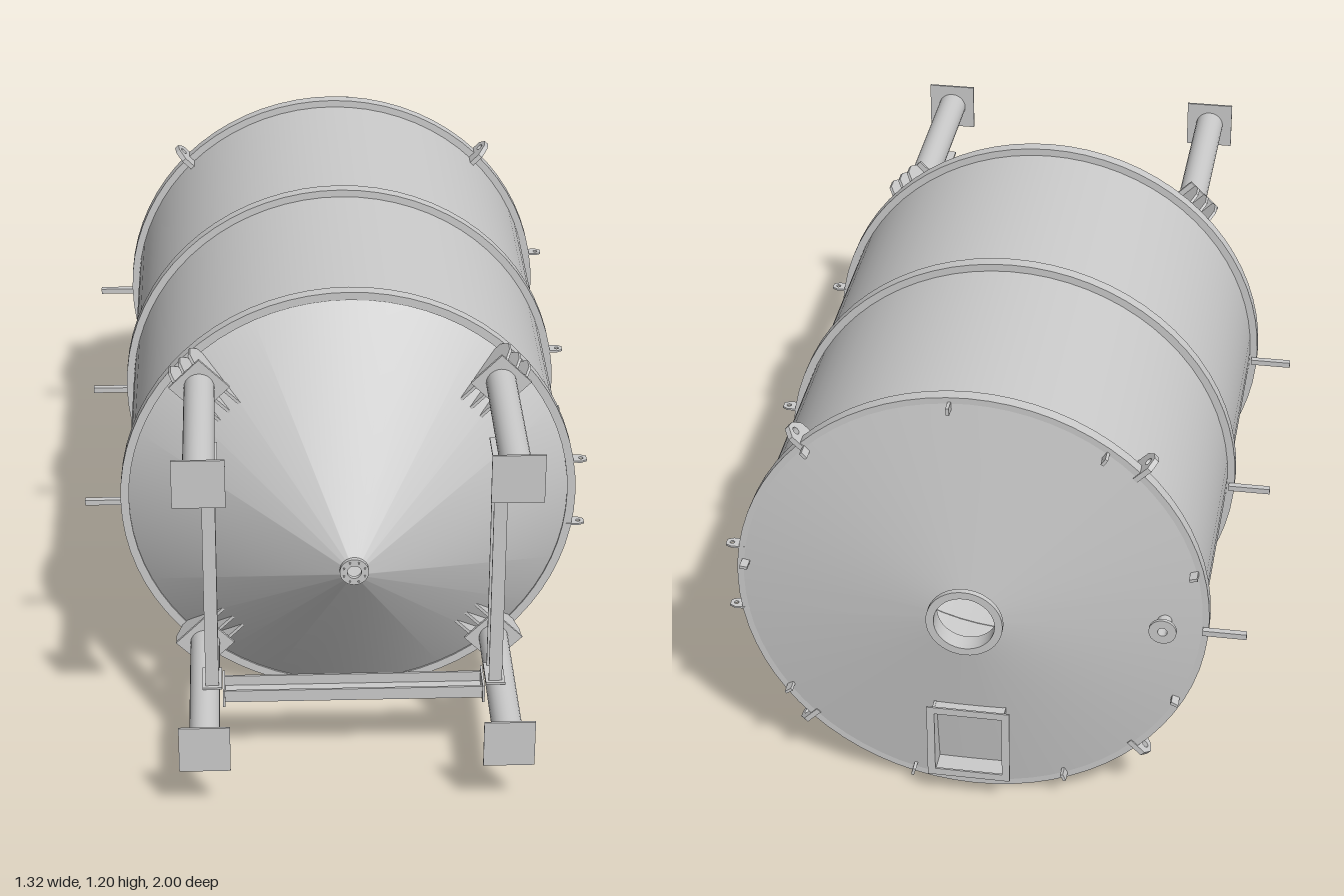
import * as THREE from 'three';
import { toCreasedNormals } from 'three/addons/utils/BufferGeometryUtils.js';

const CX = 0.03, CY = 0.6;           // tank axis, running along z
const LEG = 0.385;                   // leg offset from the axis
const grey = new THREE.MeshStandardMaterial({ color: 0xcccccc, side: THREE.DoubleSide });

function add(parent, name, geometry, x = 0, y = 0, z = 0) {
  const mesh = new THREE.Mesh(geometry, grey);
  mesh.name = name;
  mesh.position.set(x, y, z);
  parent.add(mesh);
  return mesh;
}

const box = (w, h, d) => new THREE.BoxGeometry(w, h, d);

// Surface of revolution about z from [radius, z] points
function turned(points, sides = 72) {
  const lathe = new THREE.LatheGeometry(points.map(([r, z]) => new THREE.Vector2(r, z)), sides);
  return toCreasedNormals(lathe.rotateX(Math.PI / 2), 0.4);
}

// Closed ring of rectangular section
const hoop = (inner, outer, z0, z1, sides) =>
  turned([[inner, z0], [outer, z0], [outer, z1], [inner, z1], [inner, z0]], sides);

// Flat plate from [u, v] points, centred on its thickness, with optional round hole [u, v, r]
function plate(points, thickness, hole) {
  const shape = new THREE.Shape(points.map(([u, v]) => new THREE.Vector2(u, v)));
  if (hole) shape.holes.push(new THREE.Path().absarc(hole[0], hole[1], hole[2], 0, Math.PI * 2, true));
  return new THREE.ExtrudeGeometry(shape, { depth: thickness, bevelEnabled: false, curveSegments: 8 })
    .translate(0, 0, -thickness / 2);
}

// Plate lying in the radius/z plane
const radialPlate = (points, thickness, hole) => plate(points, thickness, hole).rotateX(Math.PI / 2);

// Group turned about the tank axis so that its +x points outwards
function spoke(parent, name, angle) {
  const group = new THREE.Group();
  group.name = name;
  group.rotation.z = angle;
  parent.add(group);
  return group;
}

// U-channel along x, web on -y, flanges towards +y
function channel(parent, name, length) {
  const group = new THREE.Group();
  group.name = name;
  add(group, 'web', box(length, 0.006, 0.075), 0, -0.014, 0);
  for (const s of [-1, 1]) {
    add(group, 'flange', box(length, 0.034, 0.006), 0, 0, s * 0.0345);
    add(group, 'endPlate', box(0.006, 0.05, 0.095), s * length / 2, 0, 0);
  }
  parent.add(group);
  return group;
}

function buildTank(tank) {
  add(tank, 'shell', turned([[0.58, -0.885], [0.58, 0.4]]));
  add(tank, 'hopperCone', turned([[0.58, 0.4], [0.025, 0.78]]));
  add(tank, 'roof', turned([[0.085, -0.97], [0.59, -0.895], [0.58, -0.885]]));

  // Outlet flange with bolts
  add(tank, 'outletFlange', hoop(0.018, 0.037, 0.775, 0.786, 32));
  for (let i = 0; i < 8; i++) {
    const a = (i + 0.5) * Math.PI / 4;
    add(tank, 'outletBolt', new THREE.CylinderGeometry(0.003, 0.003, 0.004, 6).rotateX(Math.PI / 2),
      0.029 * Math.cos(a), 0.029 * Math.sin(a), 0.787);
  }

  // Manhole neck and rim
  add(tank, 'manholeNeck', hoop(0.077, 0.085, -0.995, -0.95, 40));
  add(tank, 'manholeRim', hoop(0.077, 0.097, -1, -0.985, 40));

  // Stiffening hoops with their side lugs
  for (const z of [-0.88, -0.243, 0.39]) {
    add(tank, 'hoop', hoop(0.578, 0.6, z - 0.016, z + 0.016));
    for (const y of [-0.095, 0.095]) {
      const lug = plate([[0.57, -0.016], [0.612, -0.018], [0.627, -0.01], [0.627, 0.01],
        [0.612, 0.018], [0.57, 0.016]], 0.005, [0.612, 0, 0.006]);
      add(tank, 'sideLug', lug.rotateX(Math.PI / 2), 0, y, z);
    }
    add(tank, 'sideBar', box(0.11, 0.015, 0.016), -0.64, -0.025, z - 0.026);
  }

  // Small tabs around the roof rim
  for (let i = 0; i < 9; i++) {
    const tab = spoke(tank, 'rimTab', (5.5 + 40 * i) * Math.PI / 180);
    add(tab, 'tab', box(0.02, 0.008, 0.04), 0.578, 0, -0.908);
  }

  // Lifting eyes at the back rim
  for (let i = 0; i < 4; i++) {
    const eye = spoke(tank, 'liftingEye', (i + 0.5) * Math.PI / 2);
    add(eye, 'eyePlate', radialPlate([[0.575, -0.9], [0.625, -0.9], [0.645, -0.875],
      [0.64, -0.85], [0.615, -0.825], [0.575, -0.825]], 0.014, [0.622, -0.868, 0.01]));
  }

  // Small roof nozzle
  const nozzle = new THREE.Group();
  nozzle.name = 'roofNozzle';
  nozzle.position.x = -0.49;
  add(nozzle, 'pipe', hoop(0.012, 0.018, -0.955, -0.9, 20));
  add(nozzle, 'flange', hoop(0.012, 0.035, -0.957, -0.948, 20));
  tank.add(nozzle);
}

// Open box hatch standing on the roof; its walls follow the roof slope
function buildHatch(tank) {
  const hatch = new THREE.Group();
  hatch.name = 'hatch';
  hatch.position.y = -0.41;
  const side = [[-0.105, -0.9], [-0.105, -0.968], [0.105, -0.968], [0.105, -0.925]];
  for (const s of [-1, 1]) {
    // shape u runs along y, v along z
    const wall = plate(side, 0.006).applyMatrix4(new THREE.Matrix4().set(
      0, 0, 1, 0, 1, 0, 0, 0, 0, 1, 0, 0, 0, 0, 0, 1));
    add(hatch, 'sideWall', wall, s * 0.09, 0, 0);
    add(hatch, 'rimSide', box(0.02, 0.22, 0.005), s * 0.097, 0, -0.9685);
    add(hatch, 'rimEnd', box(0.2, 0.02, 0.005), 0, s * 0.1, -0.9685);
  }
  add(hatch, 'lowerWall', box(0.18, 0.006, 0.07), 0, -0.1, -0.934);
  add(hatch, 'upperWall', box(0.18, 0.006, 0.045), 0, 0.1, -0.946);
  tank.add(hatch);
}

function buildLegs(root) {
  for (const sx of [-1, 1]) for (const sy of [-1, 1]) {
    const leg = new THREE.Group();
    leg.name = 'leg';
    leg.position.set(CX + sx * LEG, CY + sy * LEG, 0);
    add(leg, 'post', new THREE.CylinderGeometry(0.039, 0.039, 0.495, 24).rotateX(Math.PI / 2), 0, 0, 0.7475);
    add(leg, 'footPlate', box(0.13, 0.13, 0.006), 0, 0, 0.997);
    root.add(leg);

    // Bracket joining the post to the hopper
    const hub = new THREE.Group();
    hub.position.set(CX, CY, 0);
    hub.name = 'legBracket';
    root.add(hub);
    const bracket = spoke(hub, 'bracket', Math.atan2(sy, sx));
    add(bracket, 'topPlate', box(0.11, 0.11, 0.008), LEG * Math.SQRT2, 0, 0.5);
    for (const t of [-0.036, 0, 0.036]) {
      add(bracket, 'gusset', radialPlate([[0.437, 0.498], [0.6, 0.498], [0.615, 0.47],
        [0.615, 0.435], [0.59, 0.405], [0.57, 0.405]], 0.008), 0, t, 0);
    }
  }
}

function buildBraces(root) {
  const z = 0.752;
  const left = channel(root, 'sideBrace', 0.67);
  left.rotation.z = Math.PI / 2;
  left.position.set(0.395, CY, z);
  const right = channel(root, 'sideBrace', 0.67);
  right.rotation.z = -Math.PI / 2;
  right.position.set(-0.335, CY, z);
  channel(root, 'lowerBrace', 0.67).position.set(CX, 0.233, z);
}

export function createModel() {
  const root = new THREE.Group();
  root.name = 'hopperTank';
  const tank = new THREE.Group();
  tank.name = 'tank';
  tank.position.set(CX, CY, 0);
  root.add(tank);
  buildTank(tank);
  buildHatch(tank);
  buildLegs(root);
  buildBraces(root);
  return root;
}
